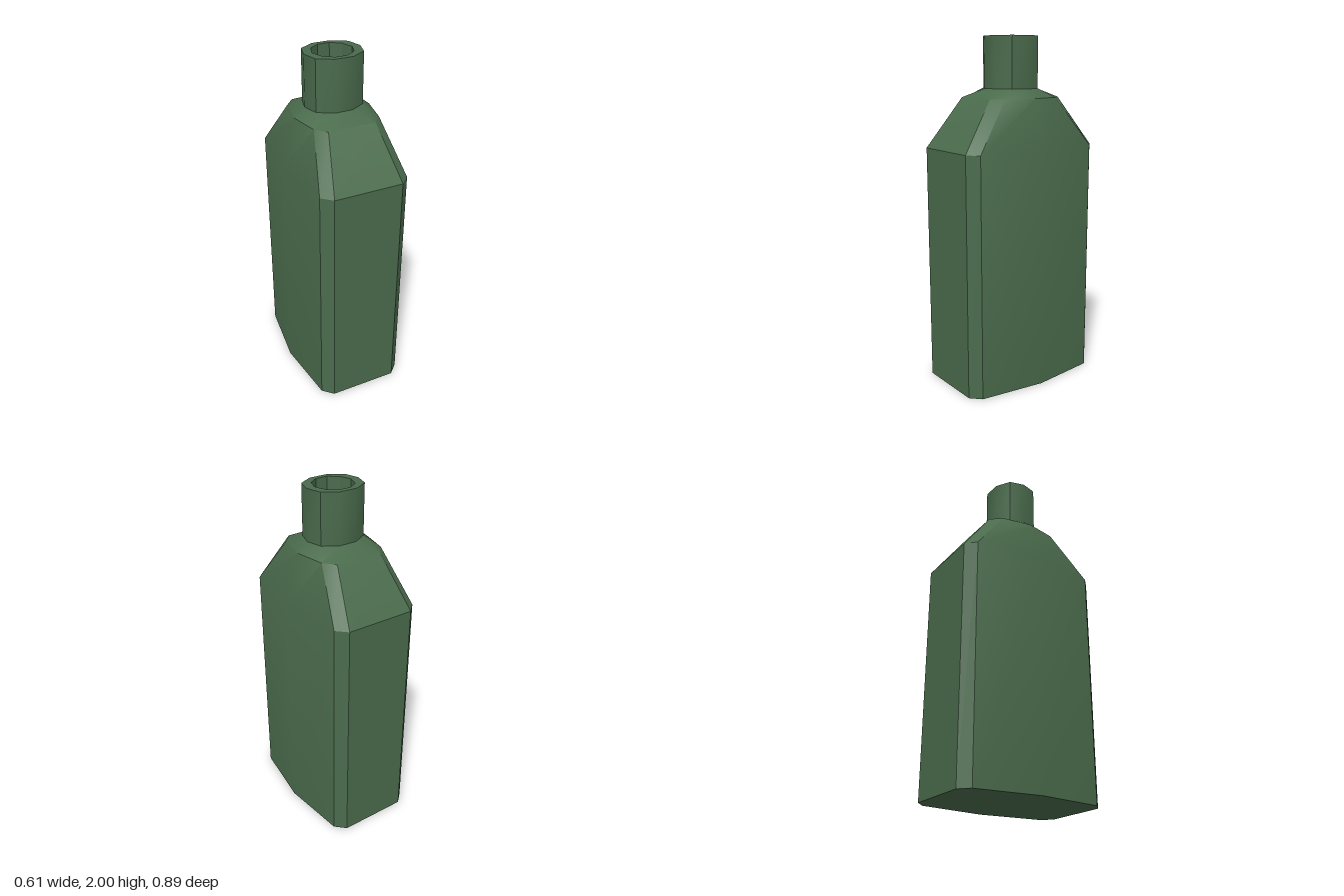
import * as THREE from 'three';
import { toCreasedNormals } from 'three/addons/utils/BufferGeometryUtils.js';

// Ten-sided outline from one quadrant: side point (sx, 0), corner (cx, cz), end (ex, ez)
function ring(y, sx, cx, cz, ex, ez) {
  return [
    [sx, 0], [cx, cz], [ex, ez], [-ex, ez], [-cx, cz],
    [-sx, 0], [-cx, -cz], [-ex, -ez], [ex, -ez], [cx, -cz],
  ].map(([x, z]) => new THREE.Vector3(x, y, z));
}

const centre = (y) => ring(y, 0, 0, 0, 0, 0);

// Skin a stack of outlines, keeping the sharp edges crisp
function loft(rings) {
  const points = [];
  const addTriangle = (a, b, c) => {
    const area = b.clone().sub(a).cross(c.clone().sub(a)).length();
    if (area > 1e-7) points.push(a, b, c);
  };
  for (let r = 0; r < rings.length - 1; r++) {
    const low = rings[r], high = rings[r + 1];
    for (let i = 0; i < low.length; i++) {
      const j = (i + 1) % low.length;
      addTriangle(low[i], high[i], low[j]);
      addTriangle(low[j], high[i], high[j]);
    }
  }
  const geometry = new THREE.BufferGeometry().setFromPoints(points);
  return toCreasedNormals(geometry, THREE.MathUtils.degToRad(33));
}

export function createModel() {
  const group = new THREE.Group();
  group.name = 'bottle';
  const glass = new THREE.MeshStandardMaterial({ color: 0x4a6b4c });

  const add = (name, rings) => {
    const mesh = new THREE.Mesh(loft(rings), glass);
    mesh.name = name;
    group.add(mesh);
  };

  const body = (y) => ring(y, 0.305, 0.258, 0.387, 0.2, 0.443);
  const neck = (y) => ring(y, 0.163, 0.138, 0.09, 0.053, 0.141);
  const bore = (y) => ring(y, 0.115, 0.091, 0.069, 0.035, 0.11);

  // Flat base, straight sides and sloping shoulders
  add('body', [
    centre(0), body(0), body(1.38),
    ring(1.66, 0.226, 0.191, 0.177, 0.137, 0.24),
    neck(1.71),
  ]);

  // Neck with a flat lip and a hollow mouth
  add('neck', [neck(1.71), neck(2), bore(2), bore(1.71), centre(1.71)]);

  return group;
}
